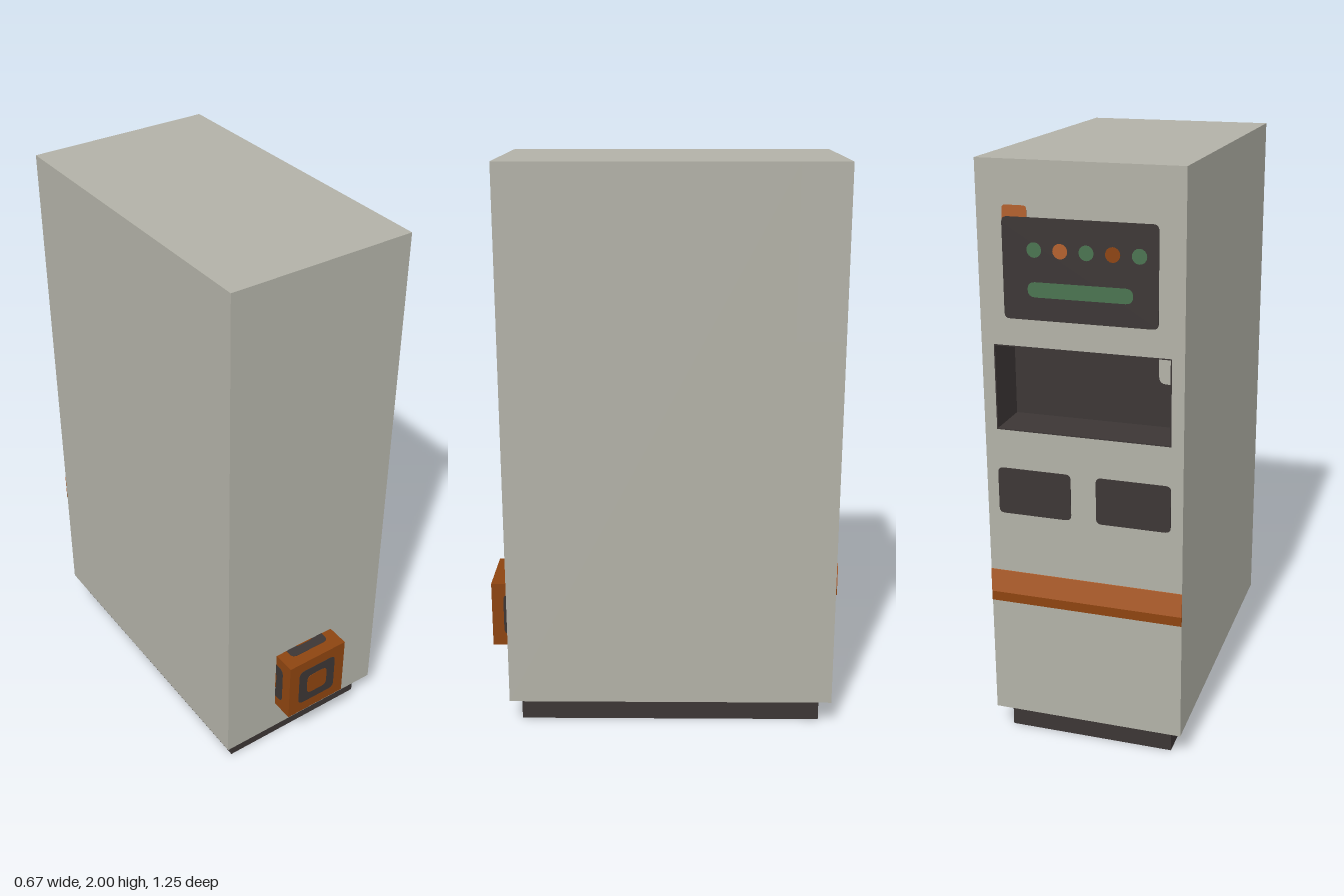
import * as THREE from 'three';

const mat = (name, color) => {
  const m = new THREE.MeshStandardMaterial({ color });
  m.name = name;
  return m;
};

export function createModel() {
  const root = new THREE.Group();
  const grey = mat('warm grey casing', 0xb2b1a7);
  const dark = mat('charcoal', 0x3c3635);
  const rust = mat('rust orange', 0x8d4410);
  const amber = mat('light orange', 0xb2602d);
  const green = mat('muted green', 0x4a7350);

  const BACK = -0.621; // control face of the casing
  const FRONT = 0.54;

  const add = (parent, name, geometry, material, x = 0, y = 0, z = 0) => {
    const mesh = new THREE.Mesh(geometry, material);
    mesh.name = name;
    mesh.position.set(x, y, z);
    parent.add(mesh);
    return mesh;
  };

  // Box given by its limits on each axis
  const block = (name, material, [x0, x1], [y0, y1], [z0, z1]) =>
    add(root, name, new THREE.BoxGeometry(x1 - x0, y1 - y0, z1 - z0), material,
      (x0 + x1) / 2, (y0 + y1) / 2, (z0 + z1) / 2);

  // Thin rounded plate, centred on its own origin
  const plate = (w, h, r, t = 0.004, segments = 4) => {
    const a = w / 2, b = h / 2;
    const s = new THREE.Shape();
    s.moveTo(-a + r, -b);
    s.lineTo(a - r, -b);
    s.quadraticCurveTo(a, -b, a, -b + r);
    s.lineTo(a, b - r);
    s.quadraticCurveTo(a, b, a - r, b);
    s.lineTo(-a + r, b);
    s.quadraticCurveTo(-a, b, -a, b - r);
    s.lineTo(-a, -b + r);
    s.quadraticCurveTo(-a, -b, -a + r, -b);
    return new THREE.ExtrudeGeometry(s, { depth: t, bevelEnabled: false, curveSegments: segments })
      .translate(0, 0, -t / 2);
  };

  // Plinth and casing, the casing framing an open dispensing alcove
  const W = 0.333, AX = 0.292, A0 = 1.132, A1 = 1.418, DEEP = -0.455;
  block('plinth', dark, [-0.29, 0.29], [0, 0.09], [-0.58, 0.5]);
  block('casing', grey, [-W, W], [0.09, 2], [DEEP, FRONT]);
  block('casingBelowAlcove', grey, [-W, W], [0.09, A0], [BACK, DEEP]);
  block('casingAboveAlcove', grey, [-W, W], [A1, 2], [BACK, DEEP]);
  for (const s of [-1, 1]) {
    const span = s < 0 ? [-W, -AX] : [AX, W];
    block('casingBesideAlcove', grey, span, [A0, A1], [BACK, DEEP]);
    const wall = s < 0 ? [-AX, -AX + 0.004] : [AX - 0.004, AX];
    block('alcoveWall', dark, wall, [A0, A1], [BACK, DEEP]);
  }
  block('alcoveFloor', dark, [-AX, AX], [A0, A0 + 0.004], [BACK, DEEP]);
  block('alcoveCeiling', dark, [-AX, AX], [A1 - 0.004, A1], [BACK, DEEP]);
  block('alcoveBack', dark, [-AX, AX], [A0, A1], [DEEP - 0.004, DEEP]);
  add(root, 'alcoveFitting', plate(0.06, 0.115, 0.025), grey, -0.237, 1.34, DEEP - 0.006);

  // Display with indicator lamps and a status bar
  add(root, 'displayTab', plate(0.08, 0.06, 0.012), amber, 0.208, 1.832, BACK);
  add(root, 'displayPanel', plate(0.5, 0.32, 0.018), dark, 0, 1.667, BACK - 0.001);
  [green, amber, green, rust, green].forEach((m, i) => {
    const lamp = new THREE.CylinderGeometry(0.024, 0.024, 0.004, 16).rotateX(Math.PI / 2);
    add(root, 'indicatorLamp', lamp, m, 0.146 - i * 0.084, 1.728, BACK - 0.002);
  });
  add(root, 'statusBar', plate(0.34, 0.048, 0.024), green, 0, 1.604, BACK - 0.002);

  // Pair of pads and the two-tone stripe
  for (const s of [-1, 1])
    add(root, 'pad', plate(0.25, 0.16, 0.018), dark, s * 0.168, 0.92, BACK - 0.001);
  block('stripeUpper', amber, [-W, W], [0.543, 0.627], [BACK - 0.003, BACK]);
  block('stripeLower', rust, [-W, W], [0.51, 0.543], [BACK - 0.003, BACK]);

  // Cube set into the front, with a ringed mark on each exposed face
  const cube = new THREE.Group();
  cube.name = 'frontCube';
  cube.position.set(0, 0.335, 0.5);
  root.add(cube);
  const H = 0.123;
  add(cube, 'cubeBody', new THREE.BoxGeometry(2 * H, 2 * H, 2 * H), rust);
  const turns = [[0, 0], [0, Math.PI / 2], [0, -Math.PI / 2], [Math.PI / 2, 0], [-Math.PI / 2, 0]];
  for (const [rx, ry] of turns) {
    const face = new THREE.Group();
    face.name = 'cubeFace';
    face.rotation.set(rx, ry, 0);
    add(face, 'cubeMark', plate(0.16, 0.16, 0.022), dark, 0, 0, H - 0.001);
    add(face, 'cubeMarkCentre', plate(0.088, 0.088, 0.022), rust, 0, 0, H);
    cube.add(face);
  }

  return root;
}
